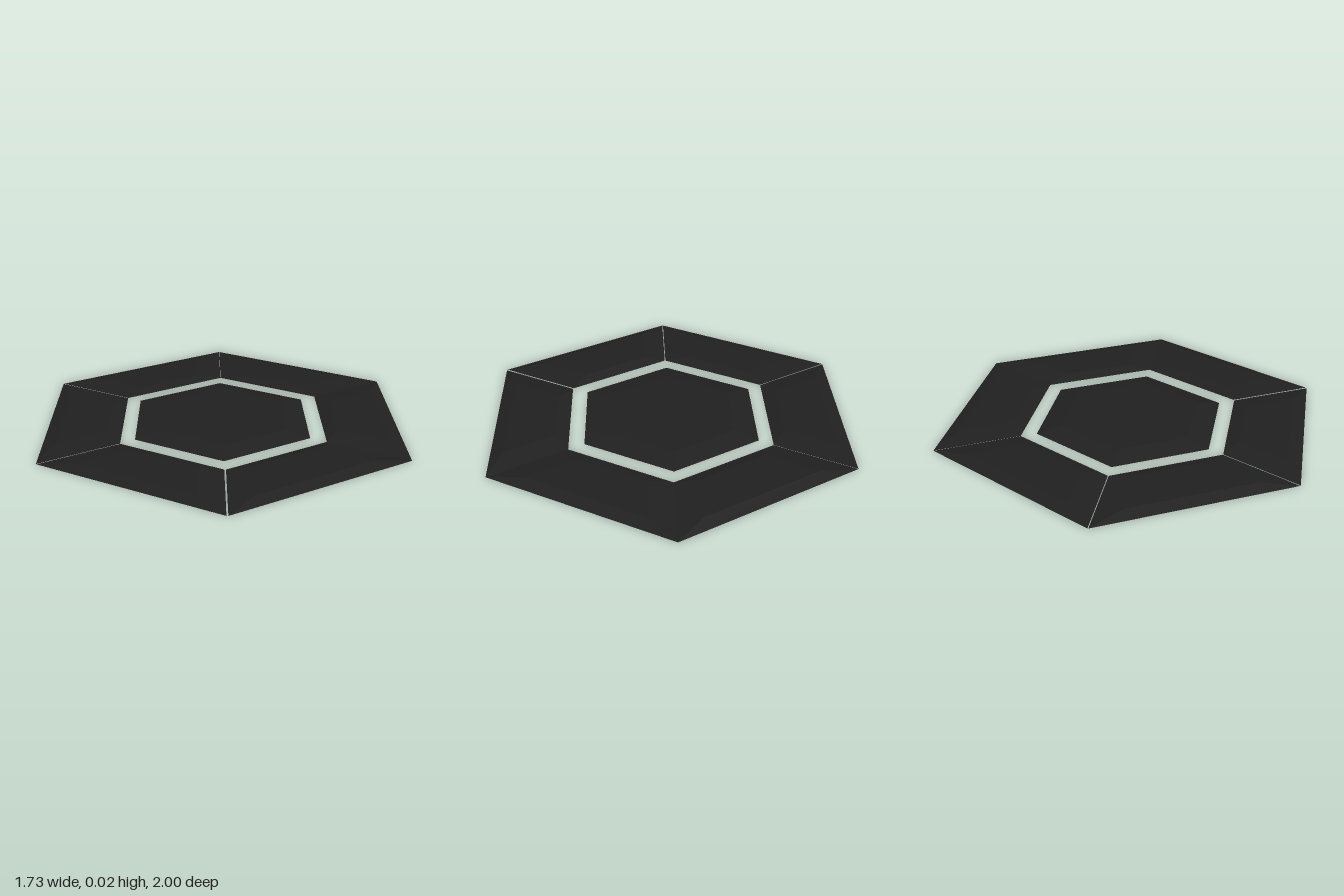
import * as THREE from 'three';

const material = new THREE.MeshStandardMaterial({ color: 0x202020, flatShading: true });

// Low bevelled plate: flat base polygon [x, z], top face shrunk about the middle
function bevelledPlate(name, base, topScale, height) {
  const n = base.length;
  const cx = base.reduce((s, p) => s + p[0], 0) / n;
  const cz = base.reduce((s, p) => s + p[1], 0) / n;
  const low = base.map(([x, z]) => [x, 0, z]);
  const high = base.map(([x, z]) => [cx + (x - cx) * topScale, height, cz + (z - cz) * topScale]);
  const pos = [];
  const tri = (a, b, c) => pos.push(...a, ...b, ...c);
  for (let i = 0; i < n; i++) {
    const j = (i + 1) % n;
    tri(low[i], low[j], high[j]); // sloping side
    tri(low[i], high[j], high[i]);
    tri([cx, height, cz], high[i], high[j]); // top
    tri([cx, 0, cz], low[j], low[i]); // underside
  }
  const geometry = new THREE.BufferGeometry();
  geometry.setAttribute('position', new THREE.Float32BufferAttribute(pos, 3));
  geometry.computeVertexNormals();
  const mesh = new THREE.Mesh(geometry, material);
  mesh.name = name;
  return mesh;
}

// Point at a radius on hexagon corner k (k = 0 faces the front), slid sideways by offset
function corner(k, radius, offset = 0) {
  const a = (k * Math.PI) / 3;
  return [
    Math.sin(a) * radius + Math.cos(a) * offset,
    Math.cos(a) * radius - Math.sin(a) * offset,
  ];
}

export function createModel() {
  const group = new THREE.Group();
  group.name = 'hexagonalPanel';

  // Six border segments, with hairline seams at some of the mitres
  const seam = [0.004, 0, 0, 0.001, 0.002, 0.002];
  const border = new THREE.Group();
  border.name = 'border';
  for (let k = 0; k < 6; k++) {
    const a = seam[k];
    const b = -seam[(k + 1) % 6];
    const base = [
      corner(k, 1, a), corner(k + 1, 1, b),
      corner(k + 1, 0.573, b), corner(k, 0.573, a),
    ];
    border.add(bevelledPlate('borderSegment' + (k + 1), base, 0.65, 0.018));
  }
  border.position.x = -0.003;
  group.add(border);

  // Central hexagon, separated from the border by an open gap
  const hexagon = [0, 1, 2, 3, 4, 5].map((k) => corner(k, 0.49));
  const centre = bevelledPlate('centrePlate', hexagon, 0.74, 0.022);
  centre.position.set(-0.007, 0, -0.003);
  group.add(centre);

  return group;
}
